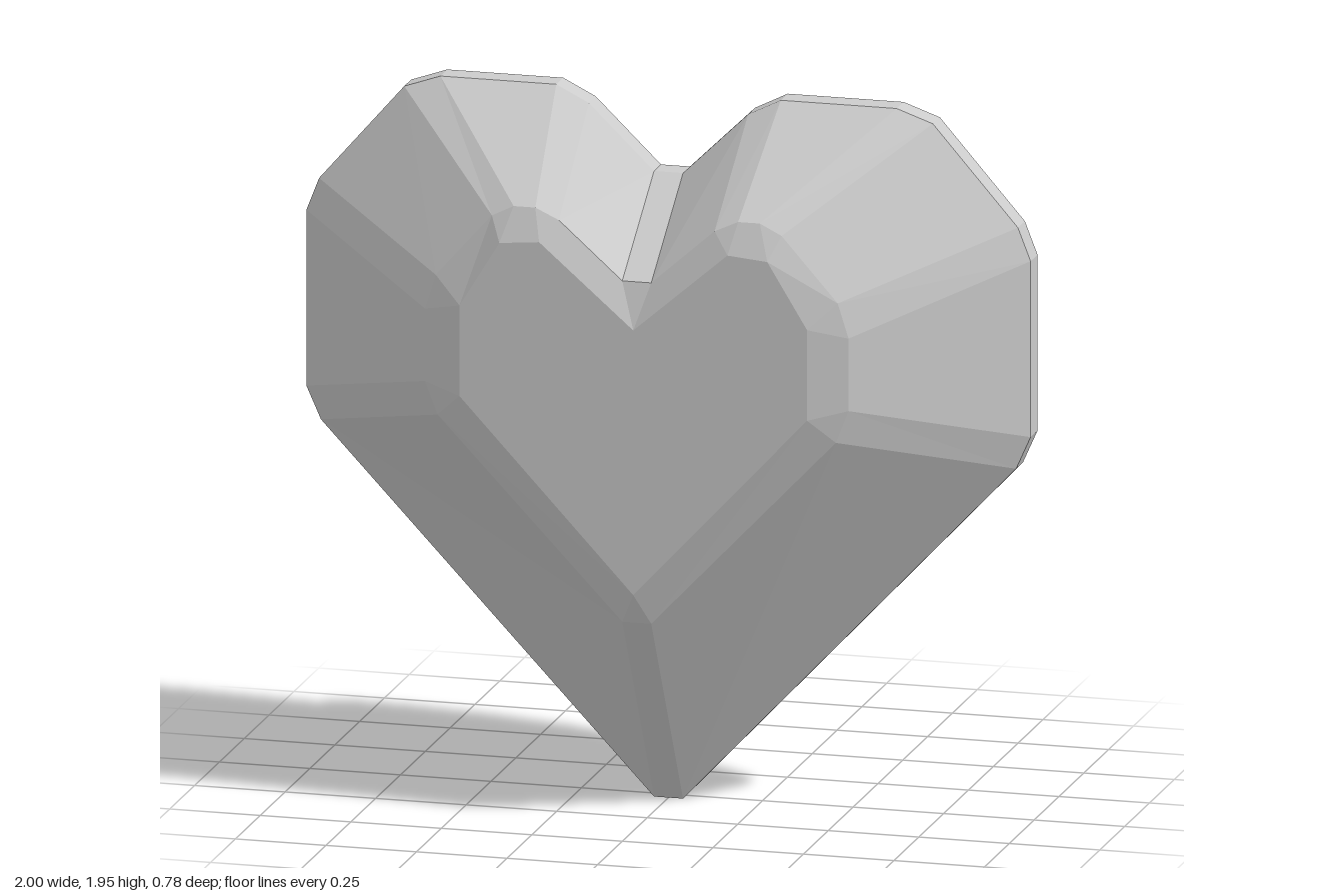
import * as THREE from 'three';

// Right half outlines, from the bottom tip up to the notch (two points per corner).
const girdle = [[0.04, 0], [0.96, 0.975], [1, 1.065], [1, 1.55], [0.965, 1.64],
  [0.73, 1.91], [0.63, 1.945], [0.31, 1.945], [0.22, 1.9], [0.04, 1.725]];
const shoulder = [[0.04, 0.565], [0.55, 1.1], [0.585, 1.19], [0.585, 1.39], [0.555, 1.485],
  [0.4, 1.66], [0.34, 1.69], [0.28, 1.69], [0.215, 1.66], [0.04, 1.505]];
// The flat face has one point per corner, so each corner facet closes to a triangle.
const face = [[0, 0.65], [0.48, 1.165], [0.48, 1.415], [0.37, 1.595], [0.26, 1.605], [0, 1.38]];
const faceRing = [0, 1, 1, 2, 2, 3, 3, 4, 4, 5].map(i => face[i]);

// Full counter-clockwise ring at depth z, mirrored across x = 0.
function ring(half, z) {
  const mirrored = half.map(([x, y]) => [-x, y]).reverse();
  return [...half, ...mirrored].map(([x, y]) => new THREE.Vector3(x, y, z));
}

function heartGeometry() {
  const positions = [];
  const triangle = (a, b, c) => {
    if (new THREE.Triangle(a, b, c).getArea() < 1e-6) return;
    for (const p of [a, b, c]) positions.push(p.x, p.y, p.z);
  };

  // Facets between consecutive rings, back to front
  const rings = [
    ring(faceRing, -0.39), ring(shoulder, -0.355), ring(girdle, -0.035),
    ring(girdle, 0.035), ring(shoulder, 0.355), ring(faceRing, 0.39),
  ];
  for (let r = 0; r < rings.length - 1; r++) {
    const low = rings[r], high = rings[r + 1], n = low.length;
    for (let i = 0; i < n; i++) {
      const j = (i + 1) % n;
      triangle(low[i], low[j], high[j]);
      triangle(low[i], high[j], high[i]);
    }
  }

  // Flat front and back faces
  const outline = ring(face, 0).filter((p, i, all) => p.distanceTo(all[(i + 1) % all.length]) > 1e-6);
  const at = (i, z) => new THREE.Vector3(outline[i].x, outline[i].y, z);
  const flat = outline.map(p => new THREE.Vector2(p.x, p.y));
  for (const [a, b, c] of THREE.ShapeUtils.triangulateShape(flat, [])) {
    triangle(at(a, 0.39), at(b, 0.39), at(c, 0.39));
    triangle(at(c, -0.39), at(b, -0.39), at(a, -0.39));
  }

  const geometry = new THREE.BufferGeometry();
  geometry.setAttribute('position', new THREE.Float32BufferAttribute(positions, 3));
  geometry.computeVertexNormals();
  return geometry;
}

export function createModel() {
  const group = new THREE.Group();
  group.name = 'heartGem';
  const material = new THREE.MeshStandardMaterial({ color: 0xcccccc, flatShading: true });
  const heart = new THREE.Mesh(heartGeometry(), material);
  heart.name = 'facetedHeart';
  group.add(heart);
  return group;
}
